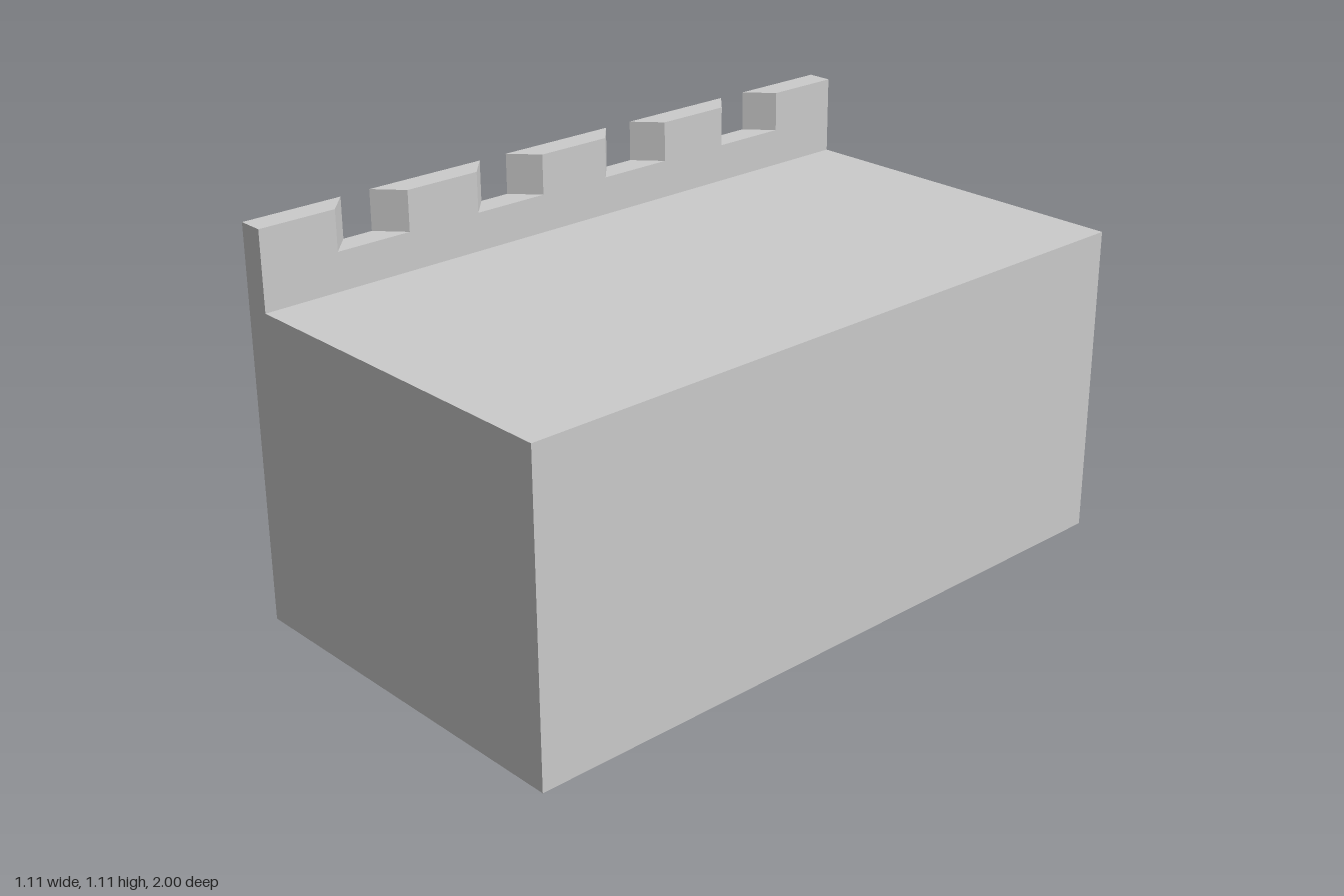
import * as THREE from 'three';

const HALF_X = 0.555, HALF_Z = 1;
const INNER_X = -0.482;                       // walkway side of the parapet
const DECK_Y = 0.89, SILL_Y = 0.997, TOP_Y = 1.11;
const GAP_OUT = 0.044, GAP_IN = 0.111;        // half widths of a splayed gap
const PITCH = 4 / 9;

const polygon = (pts) => new THREE.Shape(pts.map(([x, y]) => new THREE.Vector2(x, y)));

export function createModel() {
  const group = new THREE.Group();
  const material = new THREE.MeshStandardMaterial({ color: 0xcccccc, flatShading: true });
  const add = (name, geometry) => {
    const mesh = new THREE.Mesh(geometry, material);
    mesh.name = name;
    group.add(mesh);
  };

  // Solid wall block with the low part of the parapet along its -x edge
  const section = polygon([
    [-HALF_X, 0], [HALF_X, 0], [HALF_X, DECK_Y],
    [INNER_X, DECK_Y], [INNER_X, SILL_Y], [-HALF_X, SILL_Y],
  ]);
  const wall = new THREE.ExtrudeGeometry(section, { depth: 2 * HALF_Z, bevelEnabled: false });
  add('wallBlock', wall.translate(0, 0, -HALF_Z));

  // Merlons between four gaps that widen toward the walkway
  for (let i = 0; i < 5; i++) {
    const before = (i - 2.5) * PITCH, after = (i - 1.5) * PITCH;
    const first = i === 0, last = i === 4;
    const plan = polygon([
      [-HALF_X, first ? -HALF_Z : before + GAP_OUT],
      [INNER_X, first ? -HALF_Z : before + GAP_IN],
      [INNER_X, last ? HALF_Z : after - GAP_IN],
      [-HALF_X, last ? HALF_Z : after - GAP_OUT],
    ]);
    const merlon = new THREE.ExtrudeGeometry(plan, { depth: TOP_Y - SILL_Y, bevelEnabled: false });
    add('merlon' + (i + 1), merlon.rotateX(-Math.PI / 2).translate(0, SILL_Y, 0));
  }
  return group;
}
